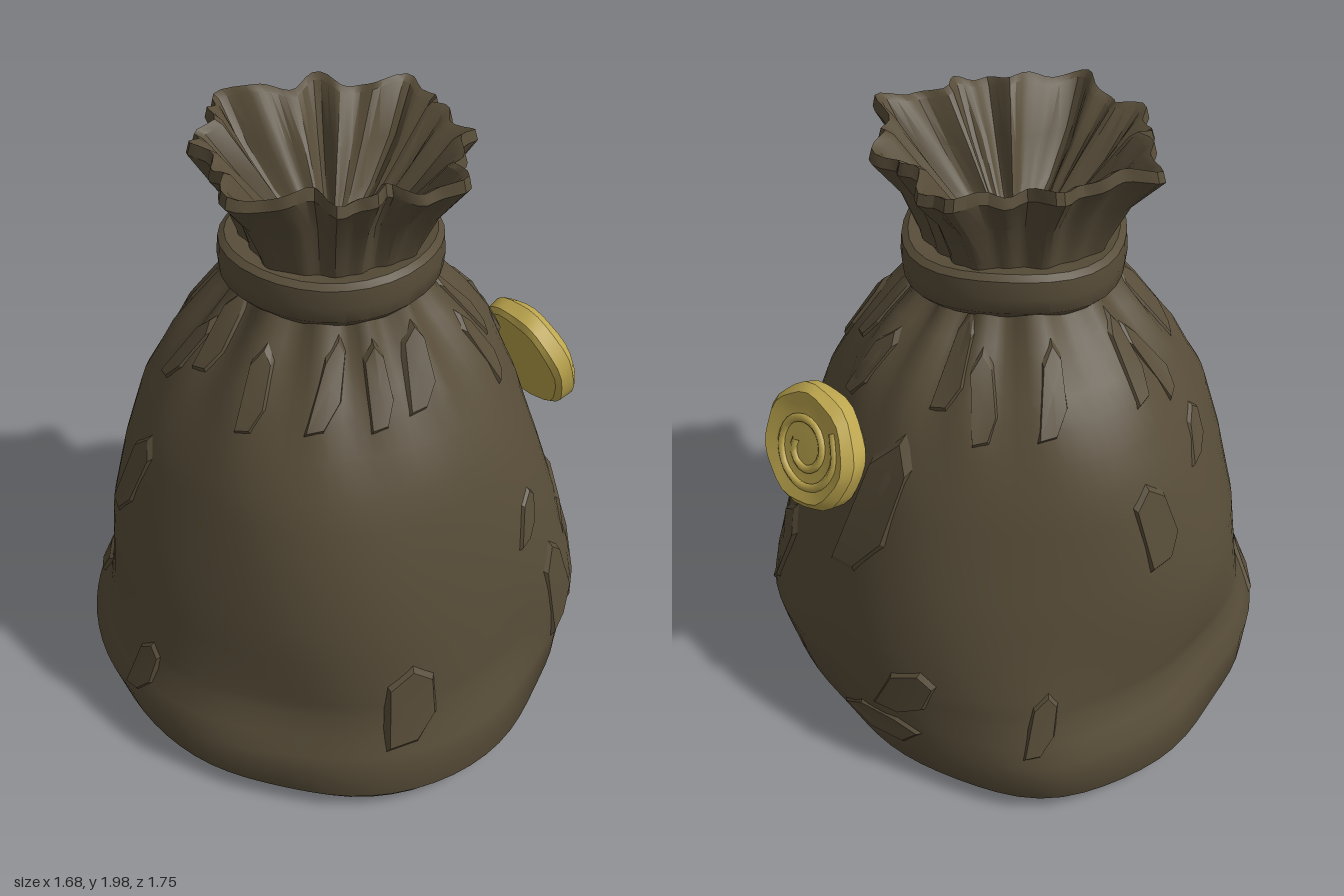
import * as THREE from 'three';
import { toCreasedNormals } from 'three/addons/utils/BufferGeometryUtils.js';

const { lerp, smoothstep } = THREE.MathUtils;
const TAU = Math.PI * 2;

// sack outline: height, then reach to +x, -x, +z, -z
const OUTLINE = [
  [0.015, 0.60, 0.66, 0.78, 0.78],
  [0.03, 0.70, 0.75, 0.84, 0.83],
  [0.08, 0.77, 0.81, 0.875, 0.87],
  [0.20, 0.80, 0.85, 0.82, 0.84],
  [0.34, 0.83, 0.79, 0.77, 0.78],
  [0.44, 0.82, 0.77, 0.76, 0.78],
  [0.68, 0.76, 0.74, 0.73, 0.76],
  [0.90, 0.69, 0.68, 0.68, 0.71],
  [1.10, 0.62, 0.61, 0.61, 0.65],
  [1.30, 0.52, 0.49, 0.49, 0.54],
  [1.42, 0.42, 0.39, 0.40, 0.43],
  [1.52, 0.32, 0.31, 0.33, 0.34],
  [1.60, 0.28, 0.28, 0.28, 0.28],
];

// bulges and dents round the foot: angle, amount
const FOOT = [[0.72, -0.015], [1.12, 0.03], [1.8, -0.025], [2.75, 0.035], [3.6, -0.035], [5.78, -0.02]];

// point on the sack, pushed outwards by lift
function sackPoint(a, y, lift = 0) {
  let i = 0;
  while (i < OUTLINE.length - 2 && OUTLINE[i + 1][0] < y) i++;
  const p = OUTLINE[i], q = OUTLINE[i + 1], t = (y - p[0]) / (q[0] - p[0]);
  const reach = k => lerp(p[k], q[k], t);
  const s = Math.sin(a), c = Math.cos(a);
  const pleat = 0.02 * smoothstep(y, 1.12, 1.5) * Math.cos(13 * a + 1.2 * Math.sin(3 * a));
  const lump = 0.008 * smoothstep(y, 0.1, 0.4) * Math.sin(5 * a + 4 * y);
  const low = 1 - smoothstep(y, 0.25, 0.6);
  const foot = FOOT.reduce((sum, [at, d]) => sum + d * Math.exp(-((1 - Math.cos(a - at)) * 30)), 0) * low;
  const k = 1 / Math.hypot(s / reach(s > 0 ? 1 : 2), c / reach(c > 0 ? 3 : 4)) + pleat + lump + foot + lift;
  return new THREE.Vector3(s * k, y, c * k);
}

// closed rings of points joined from first to last, creased where sharp
function loft(rings, crease, capStart, capEnd) {
  const n = rings[0].length, pos = [], idx = [];
  rings.forEach(r => r.forEach(p => pos.push(p.x, p.y, p.z)));
  for (let i = 0; i < rings.length - 1; i++) {
    for (let j = 0; j < n; j++) {
      const a = i * n + j, b = i * n + (j + 1) % n;
      idx.push(a, b, a + n, b, b + n, a + n);
    }
  }
  const cap = (ring, start, flip) => {
    const m = ring.reduce((v, p) => v.add(p), new THREE.Vector3()).divideScalar(n);
    const at = pos.length / 3;
    pos.push(m.x, m.y, m.z);
    for (let j = 0; j < n; j++) {
      const a = start + j, b = start + (j + 1) % n;
      if (flip) idx.push(at, b, a); else idx.push(at, a, b);
    }
  };
  if (capStart) cap(rings[0], 0, true);
  if (capEnd) cap(rings[rings.length - 1], (rings.length - 1) * n, false);
  const g = new THREE.BufferGeometry();
  g.setAttribute('position', new THREE.Float32BufferAttribute(pos, 3));
  g.setIndex(idx);
  return toCreasedNormals(g, crease);
}

const ring = (n, f) => Array.from({ length: n }, (_, j) => f(j / n * TAU));

// raised fold: angular patch following the sack, corners as [across, up]
function foldGeometry(angle, y, w, h, lean, height) {
  const corners = [[-0.9, -1], [0.2, -0.9], [1, -0.35], [0.95, 0.65], [0.15, 1], [-0.8, 0.6]];
  const r = Math.hypot(sackPoint(angle, y).x, sackPoint(angle, y).z);
  const layer = (scale, lift) => corners.map(([u, v]) =>
    sackPoint(angle + (u * w + v * lean) * scale / r, y + v * h * scale, lift));
  return loft([layer(1, -0.012), layer(0.8, height)], 0.4, false, true);
}

export function createModel() {
  const group = new THREE.Group();
  const cloth = new THREE.MeshStandardMaterial({ name: 'brown cloth', color: 0x574c38 });
  const gold = new THREE.MeshStandardMaterial({ name: 'dull gold', color: 0xbda64e });
  const add = (name, geometry, material, parent = group) => {
    const mesh = new THREE.Mesh(geometry, material);
    mesh.name = name;
    parent.add(mesh);
    return mesh;
  };

  // full sack with gathered shoulders
  const rows = [];
  OUTLINE.forEach((p, i) => {
    rows.push(p[0]);
    if (i > 2 && i < OUTLINE.length - 1) rows.push((p[0] + OUTLINE[i + 1][0]) / 2);
  });
  add('sack', loft(rows.map(y => ring(78, a => sackPoint(a, y))), 1.1, true, false), cloth);

  // angular folds in the cloth: angle, height, half width, half height, lean, lift
  const folds = new THREE.Group();
  folds.name = 'folds';
  group.add(folds);
  [
    [0.01, 0.37, 0.1, 0.17, 0.0, 0.012],
    [0.95, 0.42, 0.09, 0.24, -0.05, 0.012],
    [0.75, 0.82, 0.05, 0.1, 0.03, 0.01],
    [1.25, 0.5, 0.11, 0.26, 0.08, 0.012],
    [1.95, 0.98, 0.1, 0.28, 0.06, 0.014],
    [2.2, 0.4, 0.1, 0.12, 0.05, 0.012],
    [2.05, 0.2, 0.16, 0.08, 0.08, 0.01],
    [2.75, 0.35, 0.05, 0.13, 0.02, 0.01],
    [3.3, 0.95, 0.08, 0.16, -0.03, 0.012],
    [3.75, 1.1, 0.06, 0.08, 0.04, 0.01],
    [4.3, 0.3, 0.12, 0.1, 0.05, 0.012],
    [4.75, 0.9, 0.08, 0.2, 0.05, 0.01],
    [5.1, 0.32, 0.06, 0.12, 0.02, 0.01],
  ].forEach(([a, y, w, h, lean, lift]) => add('fold', foldGeometry(a, y, w, h, lean, lift), cloth, folds));

  // short gathers below the tie
  for (let i = 0; i < 15; i++) {
    const a = (i + 0.3 * Math.sin(i * 4.1)) / 15 * TAU;
    add('gather', foldGeometry(a, 1.38 + 0.05 * Math.sin(i * 2.7), 0.045, 0.13, 0.03 * Math.sin(i * 1.9), 0.012), cloth, folds);
  }

  // band tied round the neck
  const band = [[0.27, 1.545], [0.315, 1.53], [0.345, 1.56], [0.35, 1.61], [0.345, 1.665], [0.325, 1.68], [0.26, 1.67]];
  add('neckBand', loft(band.map(([r, y]) => ring(32, a => {
    const k = r + 0.006 * Math.sin(4 * a + 1);
    return new THREE.Vector3(k * Math.sin(a), y + 0.008 * Math.sin(3 * a), k * Math.cos(a));
  })), 0.7), cloth);

  // pleated mouth: outside up to the rim, then down inside; radius, height, pleat depth
  const mouth = [
    [0.27, 1.62, 0.01], [0.285, 1.7, 0.02], [0.33, 1.83, 0.035], [0.41, 1.945, 0.05],
    [0.4, 1.98, 0.05], [0.375, 1.965, 0.05], [0.28, 1.83, 0.06], [0.18, 1.71, 0.045], [0.1, 1.63, 0.012],
  ];
  add('pleatedMouth', loft(mouth.map(([r, y, d]) => ring(112, a => {
    const wave = 0.6 * Math.cos(8 * (a - 0.59) + 0.5 * Math.sin(2 * a))
      + 0.35 * Math.cos(19 * a + Math.sin(3 * a)) + 0.55 * Math.cos(4 * (a - 0.59));
    const k = r + d * wave;
    const rim = smoothstep(y, 1.85, 1.98) * 0.014 * Math.sin(11 * a + 1);
    return new THREE.Vector3(k * Math.sin(a), y + rim, k * Math.cos(a));
  })), 0.55, false, true), cloth);

  // round gold ornament on the sack's left side
  const ornament = new THREE.Group();
  ornament.name = 'ornament';
  ornament.position.set(0.705, 1.08, 0);
  ornament.quaternion.setFromUnitVectors(new THREE.Vector3(0, 1, 0), new THREE.Vector3(0.9, 0.33, -0.29).normalize());
  group.add(ornament);
  const disc = [[0.18, -0.05], [0.197, -0.035], [0.2, 0.015], [0.175, 0.043], [0.14, 0.036], [0.11, 0.03], [0.06, 0.032]];
  add('ornamentDisc', loft(disc.map(([r, y], i) => ring(28, a => {
    const k = r * (1 + 0.02 * Math.sin(7 * a + i));
    return new THREE.Vector3(k * Math.sin(a), y, k * Math.cos(a));
  })), 0.6, true, true), gold, ornament);

  // curled ridge on the ornament's face
  const curl = Array.from({ length: 15 }, (_, i) => {
    const a = i * 0.75, r = 0.045 + 0.007 * i;
    return new THREE.Vector3(r * Math.sin(a), 0.033, r * Math.cos(a));
  });
  add('ornamentCurl', new THREE.TubeGeometry(new THREE.CatmullRomCurve3(curl), 40, 0.014, 5), gold, ornament);
  return group;
}
